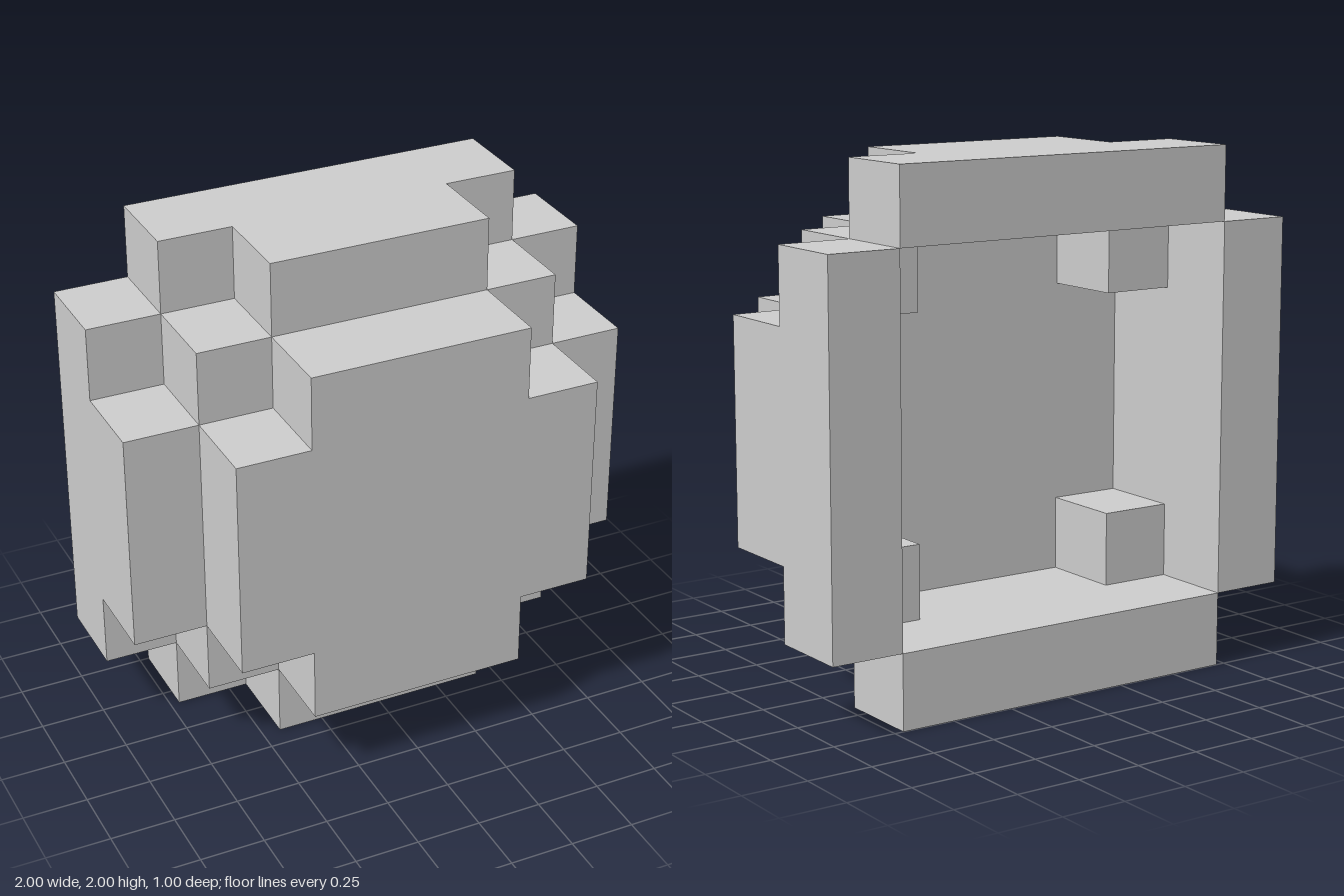
import * as THREE from 'three';

const U = 2 / 7; // block width and height
const D = 1 / 3; // block depth
const material = new THREE.MeshStandardMaterial({ color: 0xcccccc, flatShading: true });

function extrude(points, depth) {
  const shape = new THREE.Shape(points.map(([x, y]) => new THREE.Vector2(x, y)));
  return new THREE.ExtrudeGeometry(shape, { depth, bevelEnabled: false });
}

export function createModel() {
  const model = new THREE.Group();
  model.name = 'blockShell';

  function add(name, geometry, x, y, z) {
    const mesh = new THREE.Mesh(geometry, material);
    mesh.name = name;
    mesh.position.set(x, y, z);
    model.add(mesh);
    return mesh;
  }

  // Front plate: five blocks square with its corner blocks missing
  const a = 1.5 * U, b = 2.5 * U;
  add('frontPlate', extrude([
    [-a, -b], [a, -b], [a, -a], [b, -a], [b, a], [a, a],
    [a, b], [-a, b], [-a, a], [-b, a], [-b, -a], [-a, -a],
  ], D), 0, 1, D / 2);

  // Rim walls: wide at the open back, narrower towards the front
  const wall = extrude([
    [-b, -0.5], [b, -0.5], [b, -D / 2], [a, -D / 2],
    [a, D / 2], [-a, D / 2], [-a, -D / 2], [-b, -D / 2],
  ], U);
  wall.rotateX(Math.PI / 2).translate(0, 1, 0);
  ['topWall', 'rightWall', 'bottomWall', 'leftWall'].forEach((name, i) => {
    add(name, wall, 0, 1, 0).rotation.z = i * Math.PI / 2;
  });

  // Single blocks filling the diagonal corners of the middle layer
  const block = new THREE.BoxGeometry(U, U, D);
  for (const sx of [-1, 1]) {
    for (const sy of [-1, 1]) {
      const name = (sy > 0 ? 'upper' : 'lower') + (sx > 0 ? 'Left' : 'Right') + 'CornerBlock';
      add(name, block, sx * 2 * U, 1 + sy * 2 * U, 0);
    }
  }
  return model;
}
